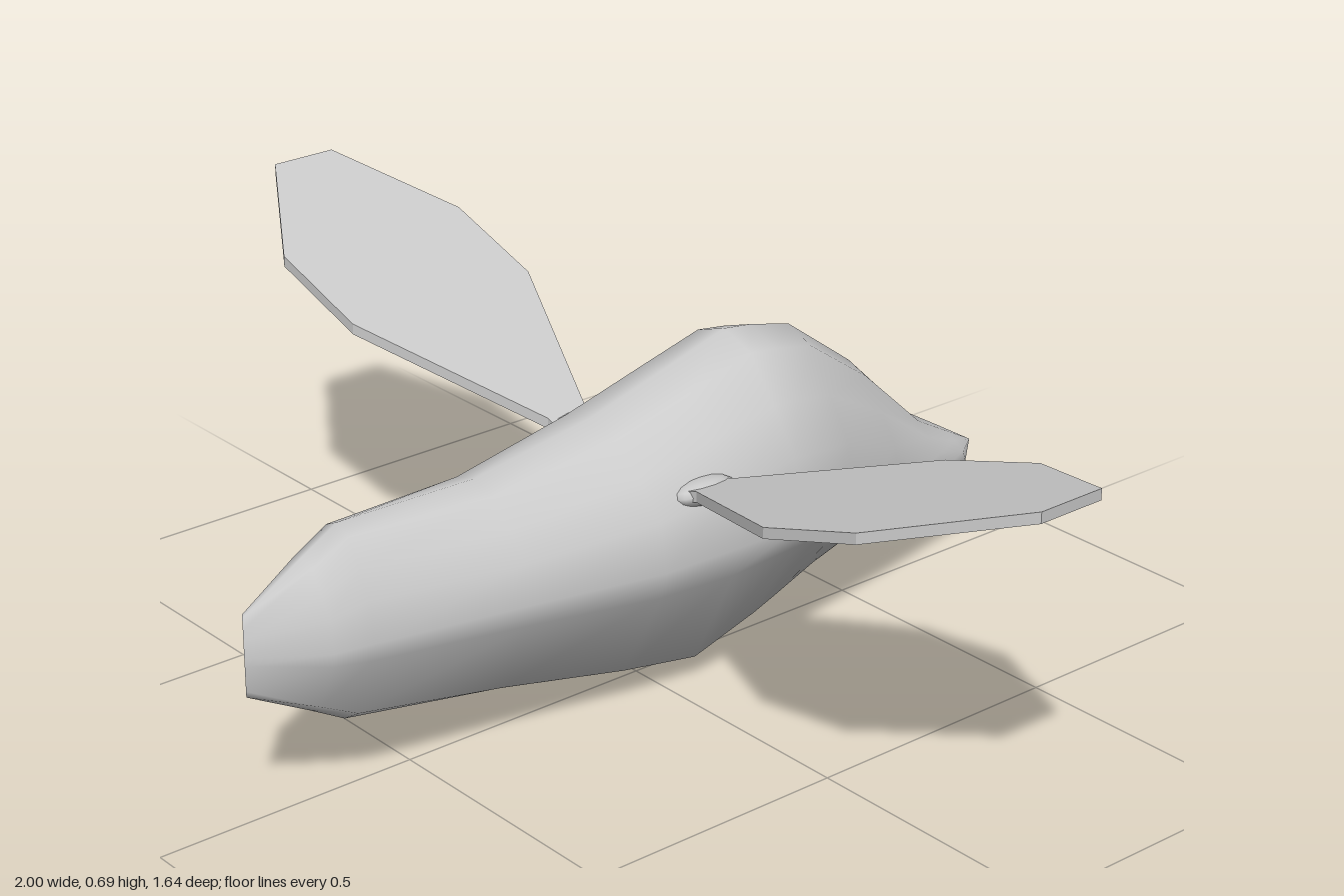
import * as THREE from 'three';

const material = new THREE.MeshStandardMaterial({ color: 0xcccccc, side: THREE.DoubleSide });

// Body stations from nose to tail: z, half width, top, widest height, bottom
const STATIONS = [
  [0.82, 0.0, 0.38, 0.3, 0.23],
  [0.7, 0.08, 0.445, 0.3, 0.165],
  [0.63, 0.092, 0.485, 0.3, 0.125],
  [0.35, 0.147, 0.48, 0.3, 0.08],
  [0.1, 0.2, 0.52, 0.3, 0.03],
  [-0.06, 0.205, 0.565, 0.3, 0.0],
  [-0.2, 0.205, 0.605, 0.3, 0.05],
  [-0.26, 0.2, 0.597, 0.295, 0.075],
  [-0.35, 0.178, 0.575, 0.28, 0.108],
  [-0.5, 0.14, 0.465, 0.25, 0.148],
  [-0.65, 0.1, 0.32, 0.232, 0.163],
  [-0.73, 0.08, 0.272, 0.225, 0.183],
  [-0.82, 0.0, 0.217, 0.215, 0.213],
];

// Half section from top to bottom: fraction of width, fraction of height
const SECTION = [
  [0, 1], [0.34, 0.92], [0.64, 0.66], [0.92, 0.4], [1, 0],
  [0.93, -0.19], [0.44, -0.85], [0, -1],
];

function createBody() {
  const mirrored = SECTION.slice(1, -1).reverse().map(([u, v]) => [-u, v]);
  const ring = [...SECTION, ...mirrored];
  const n = ring.length;
  const positions = [];
  const indices = [];
  STATIONS.forEach(([z, w, top, mid, bottom], i) => {
    for (const [u, v] of ring) {
      positions.push(u * w, mid + v * (v > 0 ? top - mid : mid - bottom), z);
    }
    if (i === STATIONS.length - 1) return;
    for (let j = 0; j < n; j++) {
      const a = i * n + j;
      const b = i * n + ((j + 1) % n);
      indices.push(a, b, a + n, b, b + n, a + n);
    }
  });
  const geometry = new THREE.BufferGeometry();
  geometry.setAttribute('position', new THREE.Float32BufferAttribute(positions, 3));
  geometry.setIndex(indices);
  geometry.computeVertexNormals();
  const body = new THREE.Mesh(geometry, material);
  body.name = 'body';
  return body;
}

// Thin paddle-shaped wing, raised towards the tip
function createWing(side) {
  const outline = [
    [0.16, -0.05], [0.2, -0.05], [0.55, -0.2], [0.76, -0.2], [1, -0.08],
    [1, 0.05], [0.76, 0.2], [0.55, 0.2], [0.2, 0.035], [0.16, 0.035],
  ];
  const shape = new THREE.Shape(outline.map(([x, z]) => new THREE.Vector2(x * side, z)));
  const geometry = new THREE.ExtrudeGeometry(shape, { depth: 0.02, bevelEnabled: false });
  geometry.rotateX(Math.PI / 2);
  const p = geometry.attributes.position;
  for (let i = 0; i < p.count; i++) {
    p.setY(i, p.getY(i) + 0.43 + (Math.abs(p.getX(i)) - 0.19) * 0.321);
  }
  geometry.computeVertexNormals();
  const wing = new THREE.Mesh(geometry, material);
  wing.name = side > 0 ? 'leftWing' : 'rightWing';
  return wing;
}

// Small rounded shoulder where each wing meets the body
function createShoulder(side) {
  const geometry = new THREE.SphereGeometry(1, 12, 8);
  geometry.scale(0.05, 0.025, 0.065);
  geometry.rotateZ(side * 0.3);
  geometry.translate(side * 0.16, 0.408, -0.01);
  const shoulder = new THREE.Mesh(geometry, material);
  shoulder.name = side > 0 ? 'leftShoulder' : 'rightShoulder';
  return shoulder;
}

export function createModel() {
  const model = new THREE.Group();
  model.name = 'bird';
  model.add(createBody());
  for (const side of [1, -1]) model.add(createWing(side), createShoulder(side));
  return model;
}
